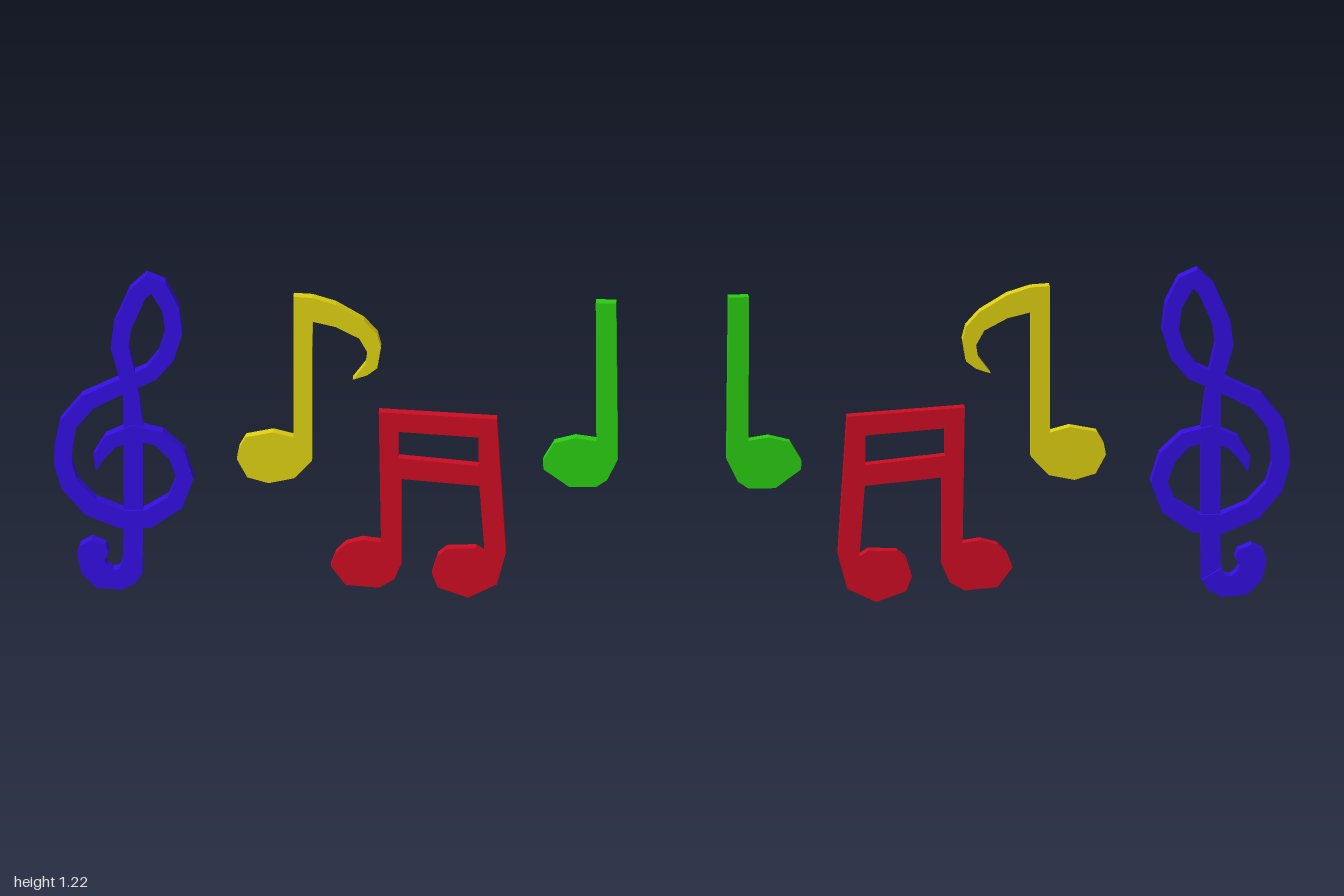
import * as THREE from 'three';

const paint = (color) => new THREE.MeshStandardMaterial({ color, flatShading: true });
const toVectors = (points) => points.map(([x, y]) => new THREE.Vector2(x, y));

// Flat plate cut from an outline, filling z0..z1
function plate(name, material, outline, z0, z1, hole) {
  const shape = new THREE.Shape(toVectors(outline));
  if (hole) shape.holes.push(new THREE.Path(toVectors(hole)));
  const geometry = new THREE.ExtrudeGeometry(shape, { depth: z1 - z0, bevelEnabled: false });
  geometry.translate(0, 0, z0);
  const mesh = new THREE.Mesh(geometry, material);
  mesh.name = name;
  return mesh;
}

// Rectangular-section band along a path of [x, y, half width]; may cross itself
function ribbon(name, material, path, z0, z1) {
  const rings = path.map(([x, y, w], i) => {
    const a = path[Math.max(i - 1, 0)];
    const b = path[Math.min(i + 1, path.length - 1)];
    const length = Math.hypot(b[0] - a[0], b[1] - a[1]);
    const nx = -(b[1] - a[1]) / length * w;
    const ny = (b[0] - a[0]) / length * w;
    return [
      [x - nx, y - ny, z1], [x + nx, y + ny, z1],
      [x + nx, y + ny, z0], [x - nx, y - ny, z0],
    ];
  });
  const positions = [];
  const quad = (a, b, c, d) => positions.push(...a, ...b, ...c, ...a, ...c, ...d);
  for (let i = 0; i + 1 < rings.length; i++) {
    for (let k = 0; k < 4; k++) {
      const n = (k + 1) % 4;
      quad(rings[i][k], rings[i + 1][k], rings[i + 1][n], rings[i][n]);
    }
  }
  const first = rings[0], last = rings[rings.length - 1];
  quad(first[0], first[1], first[2], first[3]);
  quad(last[3], last[2], last[1], last[0]);
  const geometry = new THREE.BufferGeometry();
  geometry.setAttribute('position', new THREE.Float32BufferAttribute(positions, 3));
  geometry.computeVertexNormals();
  const mesh = new THREE.Mesh(geometry, material);
  mesh.name = name;
  return mesh;
}

function trebleClef() {
  const blue = paint(0x330ee0);
  const group = new THREE.Group();
  group.name = 'trebleClef';

  // Inner curl, round bowl, crossing and tall upper loop
  group.add(ribbon('clefLoop', blue, [
    [-0.848, 0.473, 0.003], [-0.842, 0.516, 0.019], [-0.799, 0.578, 0.027],
    [-0.719, 0.615, 0.029], [-0.628, 0.594, 0.029], [-0.564, 0.532, 0.031],
    [-0.535, 0.441, 0.030], [-0.570, 0.348, 0.032], [-0.666, 0.283, 0.035],
    [-0.757, 0.278, 0.035], [-0.869, 0.324, 0.035], [-0.944, 0.409, 0.032],
    [-0.968, 0.495, 0.032], [-0.965, 0.553, 0.032], [-0.949, 0.642, 0.031],
    [-0.880, 0.730, 0.031], [-0.762, 0.792, 0.028], [-0.655, 0.845, 0.029],
    [-0.602, 0.912, 0.030], [-0.575, 1.003, 0.030], [-0.586, 1.094, 0.030],
    [-0.631, 1.178, 0.032], [-0.660, 1.194, 0.034], [-0.703, 1.152, 0.032],
    [-0.757, 1.024, 0.032], [-0.767, 0.944, 0.032], [-0.735, 0.815, 0.028],
  ], -0.04, 0.004));

  // Thinner stem passing through the bowl
  group.add(ribbon('clefStem', blue, [
    [-0.745, 0.845, 0.026], [-0.727, 0.757, 0.029], [-0.719, 0.640, 0.035],
    [-0.719, 0.210, 0.035], [-0.721, 0.070, 0.035],
  ], -0.03, -0.003));

  // Curled foot
  group.add(plate('clefFoot', blue, [
    [-0.687, 0.072], [-0.709, 0.035], [-0.757, 0.008], [-0.848, 0.013],
    [-0.901, 0.067], [-0.917, 0.136], [-0.906, 0.174], [-0.864, 0.198],
    [-0.816, 0.179], [-0.805, 0.152], [-0.821, 0.120], [-0.810, 0.099],
    [-0.789, 0.083], [-0.767, 0.088], [-0.757, 0.115],
  ], -0.04, 0.004));
  return group;
}

export function createModel() {
  const model = new THREE.Group();
  model.name = 'musicSymbols';
  const z0 = 0.004, z1 = 0.04;

  model.add(trebleClef());

  // Single note with a curved flag
  model.add(plate('flaggedNote', paint(0xdccf10), [
    [-0.15, 1.17], [-0.083, 1.167], [0, 1.142], [0.099, 1.083], [0.147, 1.03],
    [0.16, 0.98], [0.147, 0.90], [0.112, 0.872], [0.06, 0.853], [0.105, 0.915],
    [0.112, 0.96], [0.083, 1.013], [0, 1.056], [-0.083, 1.075], [-0.084, 0.537],
    [-0.147, 0.468], [-0.238, 0.447], [-0.313, 0.468], [-0.35, 0.537],
    [-0.342, 0.58], [-0.318, 0.623], [-0.222, 0.644], [-0.15, 0.626],
  ], z0, z1));

  // Pair of notes joined by two beams, with a window between the beams
  model.add(plate('beamedNotes', paint(0xcc0c22), [
    [0.152, 0.73], [0.57, 0.711], [0.602, 0.195], [0.57, 0.072], [0.468, 0.019],
    [0.361, 0.056], [0.34, 0.11], [0.361, 0.179], [0.393, 0.206], [0.495, 0.211],
    [0.527, 0.19], [0.508, 0.452], [0.233, 0.473], [0.233, 0.147], [0.206, 0.083],
    [0.152, 0.051], [0.035, 0.059], [-0.018, 0.131], [0, 0.18], [0.035, 0.217],
    [0.094, 0.235], [0.16, 0.227],
  ], z0, z1, [[0.222, 0.655], [0.222, 0.553], [0.505, 0.529], [0.505, 0.639]]));

  // Plain quarter note
  model.add(plate('quarterNote', paint(0x29cc12), [
    [0.92, 1.168], [0.992, 1.168], [0.998, 0.564], [0.96, 0.484], [0.922, 0.457],
    [0.826, 0.455], [0.735, 0.521], [0.733, 0.553], [0.773, 0.623],
    [0.848, 0.644], [0.922, 0.634],
  ], z0, z1));

  return model;
}
